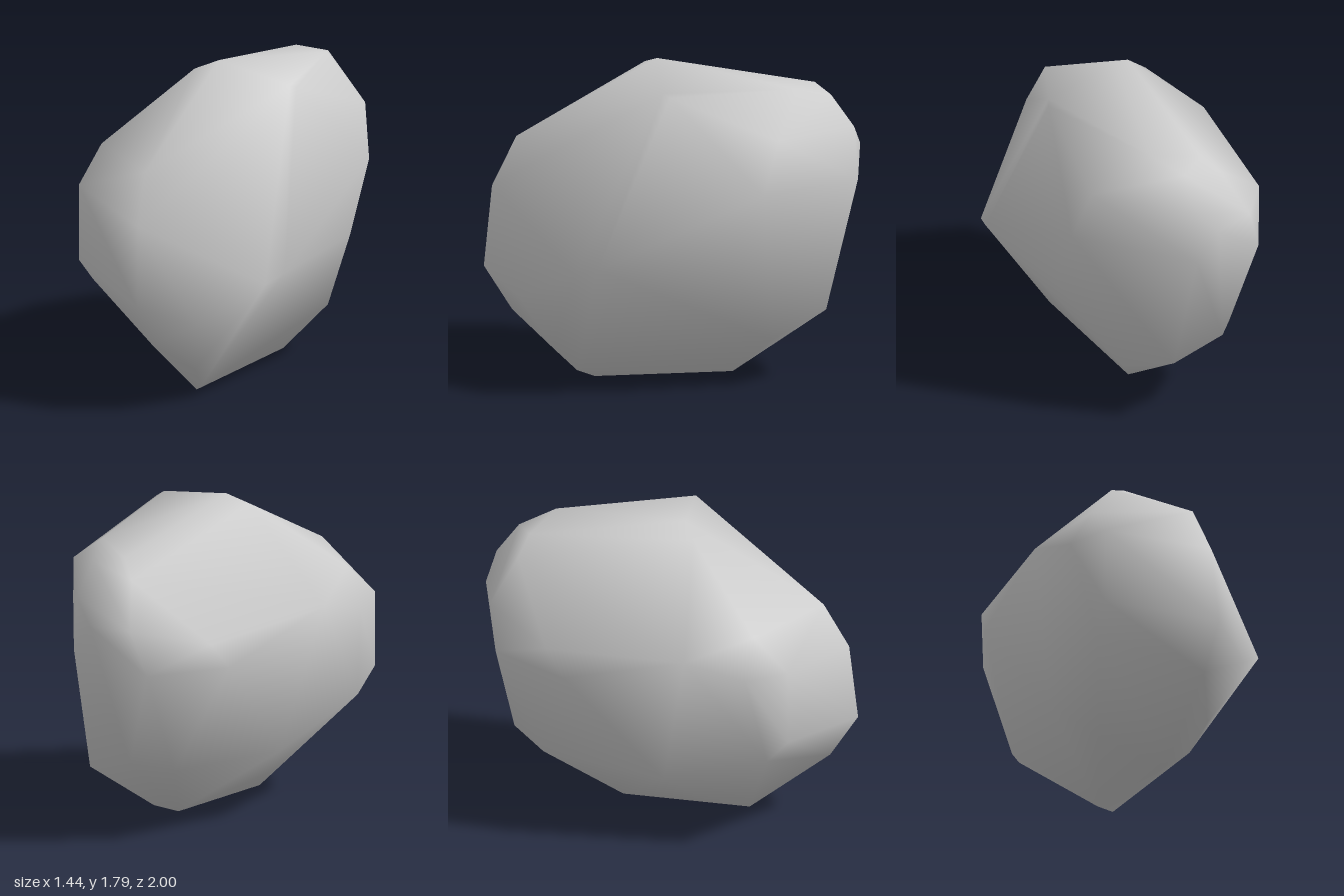
import * as THREE from 'three';
import { ConvexGeometry } from 'three/addons/geometries/ConvexGeometry.js';
import { mergeVertices } from 'three/addons/utils/BufferGeometryUtils.js';

// Corner points of the boulder, grouped by the side they shape
const corners = {
  crown: [[-0.03, 1.79, 0.07], [-0.16, 1.74, 0.1], [0.4, 1.71, 0.17], [0.43, 1.69, 0.14],
    [0.4, 1.67, -0.6], [0.18, 1.64, -0.77], [0.1, 1.54, -0.84], [0.35, 1.61, -0.81]],
  front: [[-0.25, 1.35, 0.81], [-0.25, 1.08, 0.95], [-0.24, 0.63, 1], [0.07, 0.52, 0.89],
    [-0.2, 0.38, 0.85], [0.4, 0.72, 0.68]],
  left: [[0.67, 1.46, -0.41], [0.72, 1.17, -0.31], [0.66, 0.78, -0.13],
    [0.45, 0.27, -0.44], [0.48, 0.76, 0.57]],
  right: [[-0.61, 1.36, 0.39], [-0.69, 1.17, 0.57], [-0.72, 1.15, 0.33], [-0.69, 0.74, 0.57],
    [-0.64, 0.6, 0.46], [-0.66, 1.25, 0]],
  back: [[0.03, 1.3, -1], [0.28, 1.3, -1], [0.39, 1.43, -0.93], [0.4, 1.13, -0.95],
    [-0.06, 1.05, -0.98], [-0.33, 1.2, -0.73], [-0.4, 1.05, -0.64], [0.1, 0.49, -0.86],
    [0.39, 0.4, -0.77], [-0.1, 0.43, -0.72], [-0.35, 0.61, -0.35]],
  underside: [[-0.06, 0, 0.42], [0, 0.06, 0.54], [0, 0.2, 0.68], [-0.28, 0.2, 0.12],
    [-0.44, 0.41, -0.09], [0.1, 0.03, -0.26], [0.24, 0.05, -0.28]],
};

// Bend the normals halfway towards those of an egg lying along the boulder's long axis
function softenNormals(geometry) {
  const { position, normal } = geometry.attributes;
  const axis = new THREE.Vector3(-0.26, -0.3, 0.92).normalize();
  const round = new THREE.Vector3();
  const n = new THREE.Vector3();
  for (let i = 0; i < position.count; i++) {
    round.fromBufferAttribute(position, i);
    round.y -= 0.9;
    round.addScaledVector(axis, -0.5 * round.dot(axis));
    round.x *= 1.5;
    n.fromBufferAttribute(normal, i).add(round.normalize()).normalize();
    normal.setXYZ(i, n.x, n.y, n.z);
  }
}

export function createModel() {
  const model = new THREE.Group();
  model.name = 'boulder';

  const stone = new THREE.MeshStandardMaterial({ color: 0xcccccc });
  stone.name = 'grey stone';

  // Wrap the corners in a hull, then weld it so the shading runs smoothly across the facets
  const points = Object.values(corners).flat().map((p) => new THREE.Vector3(...p));
  const hull = new ConvexGeometry(points);
  hull.deleteAttribute('normal');
  const geometry = mergeVertices(hull, 1e-4);
  geometry.computeVertexNormals();
  softenNormals(geometry);

  const rock = new THREE.Mesh(geometry, stone);
  rock.name = 'rock';
  model.add(rock);
  return model;
}
